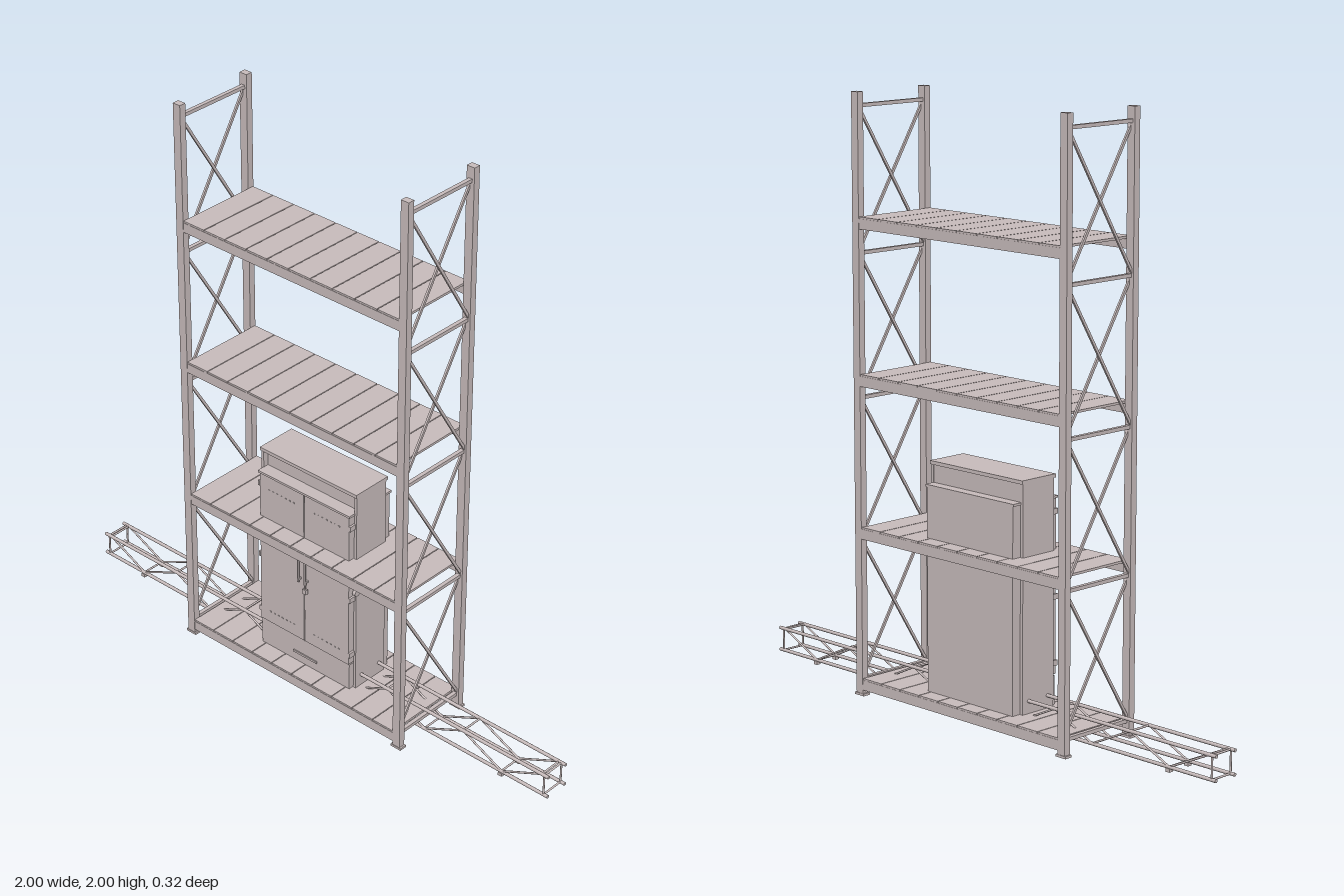
import * as THREE from 'three';

const paint = new THREE.MeshStandardMaterial({ color: 0xc8bcbc });
paint.name = 'greyPaint';

// Box given by its minimum and maximum corners
function box(parent, name, x0, x1, y0, y1, z0, z1) {
  const m = new THREE.Mesh(new THREE.BoxGeometry(x1 - x0, y1 - y0, z1 - z0), paint);
  m.position.set((x0 + x1) / 2, (y0 + y1) / 2, (z0 + z1) / 2);
  m.name = name;
  parent.add(m);
  return m;
}

// Straight member between two points, round or rectangular
function strut(parent, name, a, b, w, d = w, round = false) {
  const p = new THREE.Vector3(...a), q = new THREE.Vector3(...b);
  const dir = q.clone().sub(p), len = dir.length();
  const geo = round ? new THREE.CylinderGeometry(w / 2, w / 2, len, 10) : new THREE.BoxGeometry(w, len, d);
  const m = new THREE.Mesh(geo, paint);
  m.position.copy(p).add(q).multiplyScalar(0.5);
  m.quaternion.setFromUnitVectors(new THREE.Vector3(0, 1, 0), dir.normalize());
  m.name = name;
  parent.add(m);
}

function group(parent, name) {
  const g = new THREE.Group();
  g.name = name;
  parent.add(g);
  return g;
}

// Upright end frame with four crossed bays
function endFrame(parent, s) {
  const g = group(parent, s > 0 ? 'leftEndFrame' : 'rightEndFrame');
  for (const t of [-1, 1]) {
    const x = s * 0.464, z = t * 0.147;
    box(g, 'upright', x - 0.015, x + 0.015, 0.006, 2, z - 0.012, z + 0.012);
    box(g, 'footPlate', x - 0.021, x + 0.021, 0, 0.008, z - 0.014, z + 0.014);
  }
  const levels = [0.055, 0.53, 1.005, 1.48, 1.955];
  levels.forEach((y, i) => {
    box(g, 'crossBar', s * 0.464 - 0.007, s * 0.464 + 0.007, y - 0.006, y + 0.006, -0.137, 0.137);
    if (i === 4) return;
    const y0 = y + 0.008, y1 = levels[i + 1] - 0.015;
    for (const t of [-1, 1])
      strut(g, 'diagonalBrace', [s * 0.464 + t * 0.005, y0, -t * 0.139], [s * 0.464 + t * 0.005, y1, t * 0.139], 0.007, 0.009);
  });
}

// Shelf: two edge beams and a deck of ten planks
function shelf(parent, top) {
  const g = group(parent, 'shelf');
  for (const t of [-1, 1]) {
    const z = t * 0.149;
    box(g, 'edgeBeam', -0.452, 0.452, top - 0.04, top - 0.006, z - 0.009, z + 0.009);
  }
  const n = 10, pitch = 0.9 / n;
  for (let i = 0; i < n; i++) {
    const x = -0.45 + i * pitch;
    box(g, 'plank', x + 0.0015, x + pitch - 0.0015, top - 0.008, top, -0.157, 0.157);
  }
}

// Box truss running sideways through the base
function truss(parent) {
  const g = group(parent, 'truss'), zs = 0.043, yb = 0.025, yt = 0.102, step = 0.162;
  for (const t of [-1, 1]) {
    for (const y of [yb, yt]) strut(g, 'chord', [-1, y, t * zs], [1, y, t * zs], 0.012, 0.012, true);
    for (const s of [-1, 1]) strut(g, 'endPost', [s * 0.982, yb, t * zs], [s * 0.982, yt, t * zs], 0.007, 0.007, true);
    for (let i = -6; i < 6; i++) {
      const ya = i % 2 ? yb : yt, yc = i % 2 ? yt : yb;
      strut(g, 'webDiagonal', [i * step, ya, t * zs], [(i + 1) * step, yc, t * zs], 0.007, 0.007, true);
    }
  }
  for (let i = -6; i <= 6; i++) {
    const y = i % 2 ? yb : yt;
    strut(g, 'crossTie', [i * step, y, -zs], [i * step, y, zs], 0.007, 0.007, true);
  }
  for (const s of [-1, 1]) {
    for (const y of [yb, yt]) strut(g, 'endTie', [s * 0.982, y, -zs], [s * 0.982, y, zs], 0.007, 0.007, true);
    for (const t of [-1, 1]) box(g, 'trussFoot', s * 0.81 - 0.008, s * 0.81 + 0.008, 0.01, 0.022, t * zs - 0.008, t * zs + 0.008);
  }
}

// Rounded plate lying flat under the cabinet
function basePlate(parent) {
  const w = 0.21, d = 0.1, r = 0.04, s = new THREE.Shape();
  s.moveTo(-w + r, -d);
  s.lineTo(w - r, -d).absarc(w - r, -d + r, r, -Math.PI / 2, 0, false);
  s.lineTo(w, d - r).absarc(w - r, d - r, r, 0, Math.PI / 2, false);
  s.lineTo(-w + r, d).absarc(-w + r, d - r, r, Math.PI / 2, Math.PI, false);
  s.lineTo(-w, -d + r).absarc(-w + r, -d + r, r, Math.PI, Math.PI * 1.5, false);
  const m = new THREE.Mesh(new THREE.ExtrudeGeometry(s, { depth: 0.01, bevelEnabled: false }), paint);
  m.rotation.x = -Math.PI / 2;
  m.position.y = 0.01;
  m.name = 'basePlate';
  parent.add(m);
}

function cabinet(parent) {
  const g = group(parent, 'cabinet');
  basePlate(g);
  box(g, 'body', -0.198, 0.198, 0.02, 0.815, -0.068, 0.05);
  for (const s of [-1, 1]) box(g, 'sideWall', s * 0.203 - 0.005, s * 0.203 + 0.005, 0.02, 0.815, -0.07, 0.07);
  box(g, 'lid', -0.21, 0.21, 0.813, 0.825, -0.075, 0.075);
  box(g, 'backPanel', -0.195, 0.195, 0.06, 0.745, -0.102, -0.066);
  box(g, 'backPanelCap', -0.2, 0.2, 0.745, 0.753, -0.105, -0.066);
  // Front: plinth, pair of doors and the ledge above them
  box(g, 'plinth', -0.196, 0.196, 0.06, 0.157, 0.05, 0.088);
  box(g, 'pullSlot', -0.052, 0.052, 0.091, 0.099, 0.088, 0.092);
  box(g, 'doorLedge', -0.2, 0.2, 0.742, 0.75, 0.05, 0.096);
  for (const s of [-1, 1]) {
    box(g, 'door', s * 0.0985 - 0.097, s * 0.0985 + 0.097, 0.161, 0.74, 0.05, 0.092);
    const hx = s * 0.015;
    box(g, 'handle', hx - 0.003, hx + 0.003, 0.4, 0.505, 0.102, 0.108);
    for (const y of [0.41, 0.495]) box(g, 'handleMount', hx - 0.003, hx + 0.003, y - 0.003, y + 0.003, 0.092, 0.104);
    for (const y of [0.2, 0.42, 0.56, 0.7]) box(g, 'hinge', s * 0.199 - 0.004, s * 0.199 + 0.004, y - 0.009, y + 0.009, 0.07, 0.094);
    for (const y of [0.205, 0.69])
      for (let i = 0; i < 7; i++) {
        const x = s * (0.045 + i * 0.018);
        box(g, 'ventStud', x - 0.003, x + 0.003, y - 0.002, y + 0.002, 0.092, 0.0935);
      }
  }
  // Hanging lock and side knob
  strut(g, 'lockShackle', [0.015, 0.375, 0.105], [0.015, 0.402, 0.105], 0.006, 0.006, true);
  box(g, 'lockBody', 0.007, 0.023, 0.366, 0.384, 0.1, 0.11);
  strut(g, 'sideKnob', [0.206, 0.45, 0.075], [0.218, 0.45, 0.075], 0.024, 0.024, true);
}

export function createModel() {
  const model = new THREE.Group();
  model.name = 'storageRack';
  for (const s of [-1, 1]) endFrame(model, s);
  for (const y of [0.06, 0.575, 1.085, 1.6]) shelf(model, y);
  truss(model);
  cabinet(model);
  return model;
}
